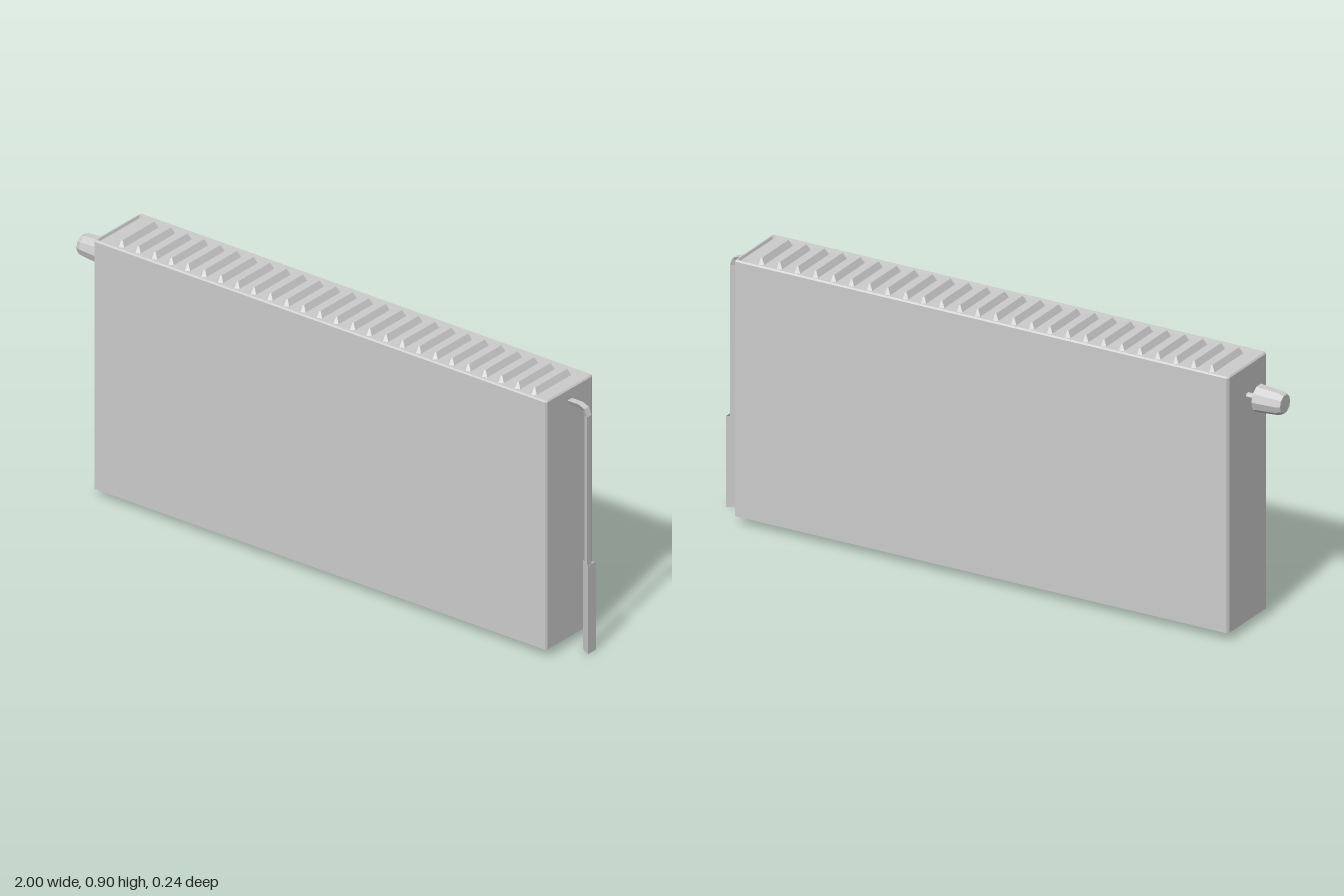
import * as THREE from 'three';

const material = new THREE.MeshStandardMaterial({ color: 0xcccccc, flatShading: true, side: THREE.DoubleSide });

function addMesh(parent, name, geometry, x = 0, y = 0, z = 0) {
  const mesh = new THREE.Mesh(geometry, material);
  mesh.name = name;
  mesh.position.set(x, y, z);
  parent.add(mesh);
  return mesh;
}

// Skin a list of closed rings of points [x, y, z]
function loft(rings) {
  const n = rings[0].length, index = [];
  for (let i = 0; i < rings.length - 1; i++) {
    for (let j = 0; j < n; j++) {
      const a = i * n + j, b = i * n + (j + 1) % n;
      index.push(a, b, b + n, a, b + n, a + n);
    }
  }
  const indexed = new THREE.BufferGeometry();
  indexed.setAttribute('position', new THREE.Float32BufferAttribute(rings.flat(2), 3));
  indexed.setIndex(index);
  const geometry = indexed.toNonIndexed();
  geometry.computeVertexNormals();
  return geometry;
}

// Outline of the casing with small cut corners, counter-clockwise
function outline(inset) {
  const w = 0.889 - inset, d = 0.118 - inset, cx = 0.005, cz = 0.008;
  return [
    [w, -d + cz], [w, d - cz], [w - cx, d], [-w + cx, d],
    [-w, d - cz], [-w, -d + cz], [-w + cx, -d], [w - cx, -d],
  ];
}

export function createModel() {
  const model = new THREE.Group();
  model.name = 'radiator';
  const bodyX = 0.024;

  // Casing: open below, bevelled rim above folding down to the grille
  const sections = [[0, 0.026], [0, 0.884], [0.004, 0.889], [0.008, 0.889], [0.011, 0.88]];
  const rings = sections.map(([inset, y]) => outline(inset).map(([x, z]) => [x, y, -z]));
  addMesh(model, 'casing', loft(rings), bodyX);

  // Recessed top panel
  const panel = new THREE.ShapeGeometry(new THREE.Shape(outline(0.011).map(([x, y]) => new THREE.Vector2(x, y))));
  panel.rotateX(-Math.PI / 2);
  addMesh(model, 'topPanel', panel, bodyX, 0.88);

  // Row of raised grille ribs: tapered hexagons stretched along z
  const rib = new THREE.CylinderGeometry(0.004, 0.017, 0.02, 6);
  const pos = rib.attributes.position;
  for (let i = 0; i < pos.count; i++) {
    const z = pos.getZ(i);
    if (Math.abs(z) > 1e-5) pos.setZ(i, z + Math.sign(z) * 0.078);
  }
  rib.computeVertexNormals();
  const grille = new THREE.Group();
  grille.name = 'grille';
  model.add(grille);
  for (let i = 0; i < 26; i++) addMesh(grille, 'grilleRib', rib, 0.027 + (i - 12.5) * 0.0648, 0.89);

  // Valve stem and tapered control knob
  const valve = new THREE.Group();
  valve.name = 'valve';
  valve.position.y = 0.786;
  model.add(valve);
  const stem = new THREE.CylinderGeometry(0.01, 0.01, 0.05, 6);
  stem.rotateZ(Math.PI / 2);
  addMesh(valve, 'valveStem', stem, -0.885);
  const profile = [[0, 0], [0.045, 0], [0.038, 0.08], [0.031, 0.095], [0, 0.095]];
  const knob = new THREE.LatheGeometry(profile.map(([r, y]) => new THREE.Vector2(r, y)), 10);
  knob.rotateZ(Math.PI / 2);
  addMesh(valve, 'valveKnob', knob, -0.905);

  // Three-sided supply pipe: out of the end wall, round the bend and down
  const path = [[0.91, 0.8435, 90], [0.955, 0.8435, 85], [0.975, 0.836, 45], [0.984, 0.815, 5], [0.984, 0.3, 0]];
  const pipe = path.map(([x, y, degrees]) => {
    const t = THREE.MathUtils.degToRad(degrees);
    return [-60, 60, 180].map((s) => {
      const a = THREE.MathUtils.degToRad(s), out = 0.0133 * Math.cos(a);
      return [x + out * Math.cos(t), y + out * Math.sin(t), 0.0133 * Math.sin(a)];
    });
  });
  addMesh(model, 'supplyPipe', loft(pipe));

  // Wider three-sided sleeve down to the floor, flat side outward
  const sleeve = new THREE.CylinderGeometry(0.023, 0.023, 0.306, 3, 1, true);
  sleeve.rotateY(-Math.PI / 2);
  addMesh(model, 'pipeSleeve', sleeve, 0.9885, 0.153);

  return model;
}
